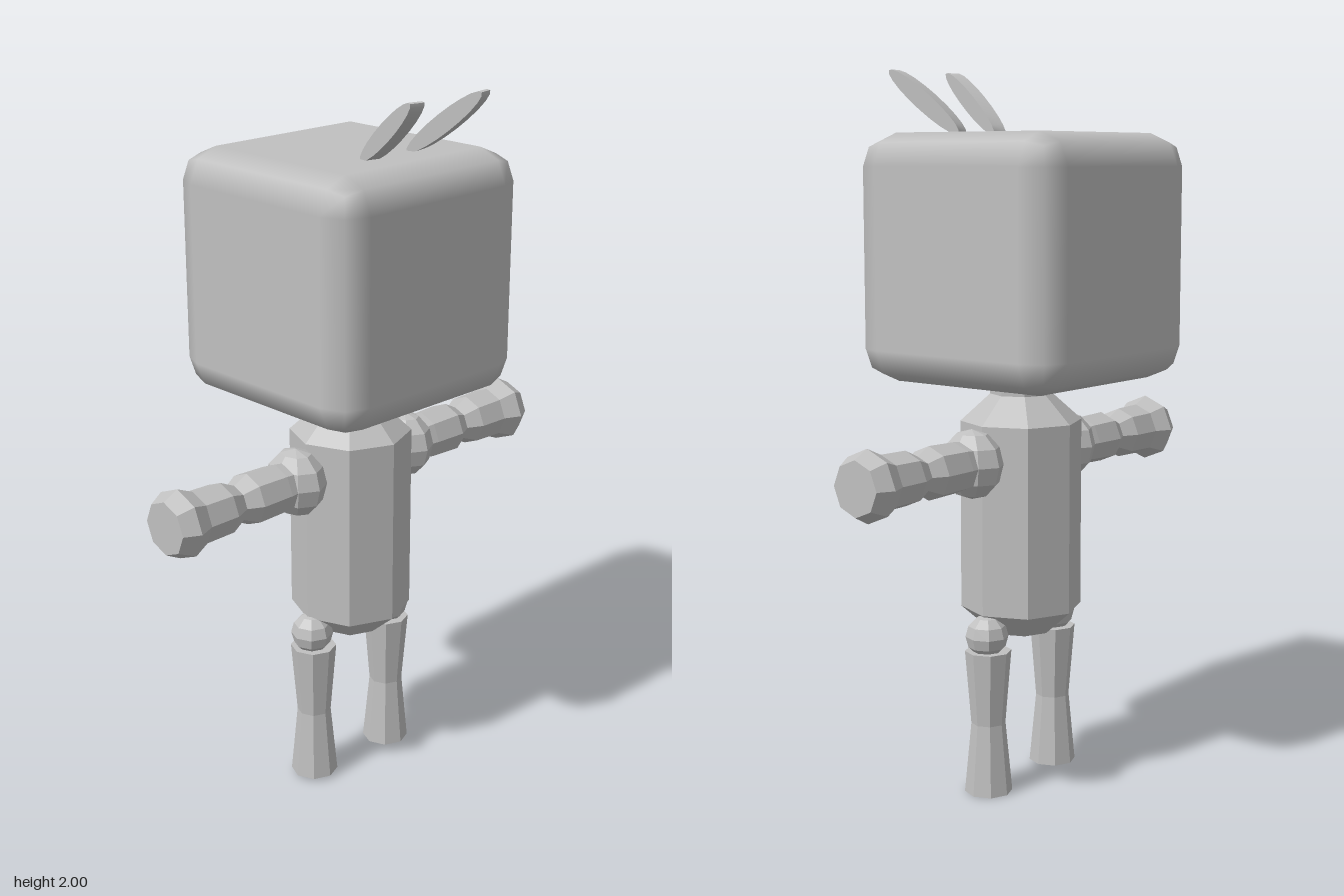
import * as THREE from 'three';
import { RoundedBoxGeometry } from 'three/addons/geometries/RoundedBoxGeometry.js';
import { toCreasedNormals } from 'three/addons/utils/BufferGeometryUtils.js';

const grey = new THREE.MeshStandardMaterial({ color: 0xc0c0c0 });
grey.name = 'light grey';

// Faceted copy of a geometry
function faceted(geometry) {
  const flat = geometry.index ? geometry.toNonIndexed() : geometry;
  flat.computeVertexNormals();
  return flat;
}

// Eight-sided turned solid; profile is [radius, height] from bottom to top
function turned(profile) {
  const points = profile.map(([r, y]) => new THREE.Vector2(r, y));
  points.unshift(new THREE.Vector2(0, profile[0][1]));
  points.push(new THREE.Vector2(0, profile[profile.length - 1][1]));
  return faceted(new THREE.LatheGeometry(points, 8));
}

const ball = (r) => faceted(new THREE.SphereGeometry(r, 8, 6));

function add(parent, name, geometry, x, y, z) {
  const mesh = new THREE.Mesh(geometry, grey);
  mesh.name = name;
  mesh.position.set(x, y, z);
  parent.add(mesh);
  return mesh;
}

export function createModel() {
  const model = new THREE.Group();
  model.name = 'boxHeadFigure';

  // Bevelled cube head
  add(model, 'head', new RoundedBoxGeometry(0.67, 0.672, 0.67, 1, 0.09), -0.015, 1.492, -0.005);

  // Torso and neck
  add(model, 'torso', turned([[0.09, 0.44], [0.17, 0.51], [0.17, 1.04], [0.087, 1.115]]), 0, 0, 0);
  add(model, 'neck', turned([[0.087, 1.1], [0.087, 1.2]]), 0, 0, 0);

  for (const side of [1, -1]) {
    const label = side > 0 ? 'front' : 'back';

    // Arm stretched out along z, with a flared fist
    const arm = add(model, label + 'Arm', turned([
      [0.06, 0.2], [0.07, 0.285], [0.073, 0.385], [0.051, 0.428],
      [0.073, 0.475], [0.075, 0.567], [0.097, 0.617], [0.074, 0.662],
    ]), 0.003, 0.943, 0);
    arm.rotation.x = side * Math.PI / 2;

    // Shoulder
    const shoulder = add(model, label + 'Shoulder', ball(0.096), 0.003, 0.943, side * 0.21);
    shoulder.scale.z = 0.78;

    // Hip and pinched leg
    const lift = side > 0 ? 0.01 : 0;
    add(model, label + 'Hip', ball(0.06), 0, 0.45 + lift, side * 0.152);
    add(model, label + 'Leg', turned([[0.067, 0], [0.048, 0.2], [0.065, 0.408]]), 0, lift, side * 0.147);

    // Thin oval antenna leaning sideways and spreading outward
    const antenna = new THREE.CylinderGeometry(1, 1, 0.042, 20);
    antenna.rotateX(Math.PI / 2).scale(0.14, 0.025, 1).rotateZ(0.67).rotateY(-side * 0.2);
    add(model, label + 'Antenna', toCreasedNormals(antenna, 0.6), 0.235, 1.912, side > 0 ? 0.087 : -0.117);
  }
  return model;
}
